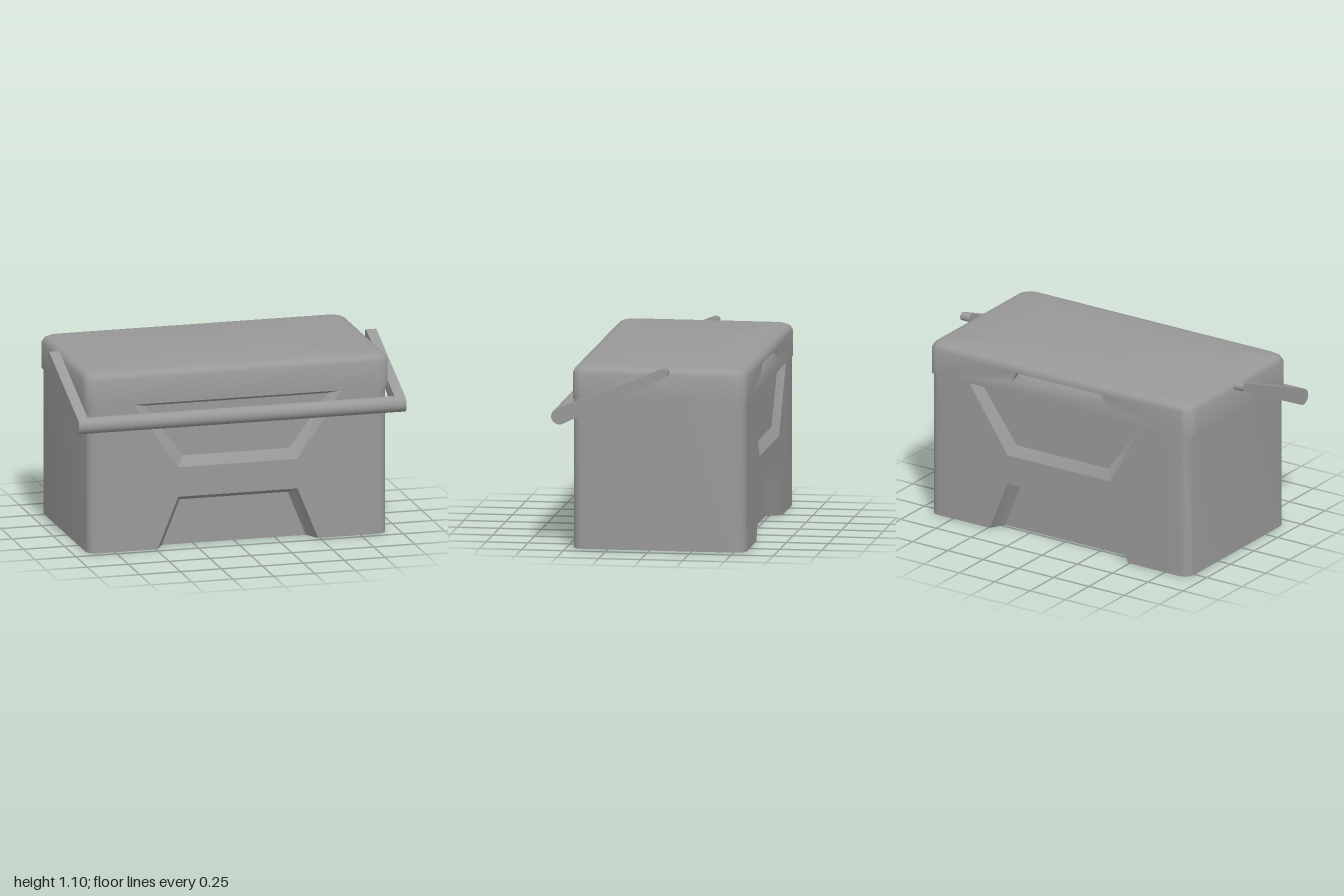
import * as THREE from 'three';
import { mergeGeometries, toCreasedNormals } from 'three/addons/utils/BufferGeometryUtils.js';

const grey = new THREE.MeshStandardMaterial({ color: 0x999999 });
grey.name = 'grey plastic';

const mesh = (geometry, name) => {
  const m = new THREE.Mesh(geometry, grey);
  m.name = name;
  return m;
};

// Join pieces into one surface, smooth except at edges sharper than the crease angle
function join(pieces, crease) {
  const bare = pieces.map((p) => {
    const g = p.index ? p.toNonIndexed() : p;
    g.deleteAttribute('normal');
    g.deleteAttribute('uv');
    g.clearGroups();
    return g;
  });
  return toCreasedNormals(mergeGeometries(bare), crease);
}

// Surface from triangles and quads given as corner points
function faces(list) {
  const pos = [];
  for (const [a, b, c, d] of list) {
    pos.push(...a, ...b, ...c);
    if (d) pos.push(...a, ...c, ...d);
  }
  const g = new THREE.BufferGeometry();
  g.setAttribute('position', new THREE.Float32BufferAttribute(pos, 3));
  return g;
}

const shapeOf = (pts) => new THREE.Shape(pts.map(([x, y]) => new THREE.Vector2(x, y)));
const at = ([x, y], z) => [x, y, z];

// Rounded rectangle in x and z, one run of points per corner
const SEG = 5;
function roundRect(hx, hz, r) {
  const pts = [];
  [[1, 1], [-1, 1], [-1, -1], [1, -1]].forEach(([sx, sz], k) => {
    for (let i = 0; i <= SEG; i++) {
      const a = (k + i / SEG) * Math.PI / 2;
      pts.push([sx * (hx - r) + r * Math.cos(a), sz * (hz - r) + r * Math.sin(a)]);
    }
  });
  return pts;
}

const BX = 0.915, BZ = 0.515, TOP = 0.9, PANEL = 0.7, DEEP = 0.09;

// Front panel with a footwell notch and a shallow tapered recess
function bodyPanel() {
  const foot = [[0.49, 0], [0.365, 0.31], [-0.365, 0.31], [-0.49, 0]];
  const footIn = [[0.44, 0], [0.33, 0.27], [-0.33, 0.27], [-0.44, 0]];
  const upper = [[-0.365, 0.49], [0.365, 0.49], [0.635, 0.89], [-0.635, 0.89]];
  const upperIn = [[-0.325, 0.55], [0.325, 0.55], [0.56, 0.868], [-0.56, 0.868]];
  const outline = shapeOf([[PANEL, 0], [PANEL, TOP], [-PANEL, TOP], [-PANEL, 0], ...[...foot].reverse()]);
  outline.holes.push(shapeOf(upper));
  const plate = new THREE.ExtrudeGeometry(outline, { depth: DEEP, bevelEnabled: false });
  plate.translate(0, 0, BZ - DEEP);

  const zin = BZ - DEEP, zup = BZ - 0.04, list = [];
  for (let i = 0; i < 3; i++) {
    list.push([at(foot[i], BZ), at(foot[i + 1], BZ), at(footIn[i + 1], zin), at(footIn[i], zin)]);
  }
  list.push([at(foot[0], BZ), at(footIn[0], zin), at(foot[0], zin)]);
  list.push([at(foot[3], BZ), at(foot[3], zin), at(footIn[3], zin)]);
  for (let i = 0; i < 4; i++) {
    const j = (i + 1) % 4;
    list.push([at(upper[i], BZ), at(upper[j], BZ), at(upperIn[j], zup), at(upperIn[i], zup)]);
  }
  list.push(upperIn.map((p) => at(p, zup)));
  return [plate, faces(list)];
}

function bodyGeometry() {
  // Core footprint, set back behind the front and back panels
  const p = roundRect(BX, BZ, 0.06), n = SEG + 1, z = BZ - DEEP;
  const footprint = shapeOf([
    ...p.slice(0, n), [PANEL, BZ], [PANEL, z], [-PANEL, z], [-PANEL, BZ],
    ...p.slice(n, 3 * n), [-PANEL, -BZ], [-PANEL, -z], [PANEL, -z], [PANEL, -BZ],
    ...p.slice(3 * n),
  ]);
  const core = new THREE.ExtrudeGeometry(footprint, { depth: TOP, bevelEnabled: false });
  core.rotateX(-Math.PI / 2);
  const back = bodyPanel().map((g) => g.rotateY(Math.PI));
  return join([core, ...bodyPanel(), ...back], 0.5);
}

function lidGeometry() {
  const hx = 0.93, hz = 0.52, r = 0.07, y0 = 0.89, y1 = 1.045;
  // Height and inset of each ring, from the rim up over the rounded edge
  const rings = [[y0, 0], [y1, 0], [1.07, 0.012], [1.083, 0.032], [1.09, 0.07]].map(([y, inset]) =>
    roundRect(hx - inset, hz - inset, r).map(([x, z]) => [x, y, z]));
  const n = rings[0].length, backEdge = 3 * (SEG + 1) - 1, list = [];
  for (let i = 0; i < n; i++) {
    const j = (i + 1) % n;
    for (let k = 0; k < rings.length - 1; k++) {
      if (k === 0 && i === backEdge) continue; // filled by the pocket panel
      const a = rings[k], b = rings[k + 1];
      list.push([a[i], b[i], b[j], a[j]]);
    }
    const top = rings[rings.length - 1];
    list.push([[0, 1.09, 0], top[j], top[i]], [[0, y0, 0], rings[0][i], rings[0][j]]);
  }
  // Back panel with a wedge-shaped finger pocket
  const w = hx - r;
  const mouth = [[-0.33, 0.965], [0.33, 0.965], [0.3, 1.03], [-0.3, 1.03]];
  const plate = shapeOf([[-w, y0], [w, y0], [w, y1], [-w, y1]]);
  plate.holes.push(shapeOf(mouth));
  const panel = new THREE.ShapeGeometry(plate).translate(0, 0, hz);
  const [bl, br, tr, tl] = mouth.map((p) => at(p, hz));
  const inL = [-0.3, 1.025, hz - 0.05], inR = [0.3, 1.025, hz - 0.05];
  const pocket = faces([[tr, tl, inL, inR], [bl, br, inR, inL], [br, tr, inR], [tl, bl, inL]]);
  return join([faces(list), panel.rotateY(Math.PI), pocket.rotateY(Math.PI)], 0.8);
}

// Tapered handle arm with round ends, drawn in z and y
function armGeometry() {
  const a = Math.atan2(0.272, -0.625), h = Math.PI / 2;
  const s = new THREE.Shape();
  s.absarc(0.525, 0.8, 0.048, a + h, a + 3 * h, false);
  s.absarc(-0.097, 1.072, 0.025, a - h, a + h, false);
  const g = new THREE.ExtrudeGeometry(s, { depth: 0.063, bevelEnabled: false, curveSegments: 14 });
  g.translate(0, 0, -0.0315).rotateY(-Math.PI / 2);
  return join([g], 0.5);
}

export function createModel() {
  const model = new THREE.Group();
  model.name = 'coolBox';

  const box = new THREE.Group();
  box.name = 'box';
  box.position.z = -0.055;
  box.add(mesh(bodyGeometry(), 'body'), mesh(lidGeometry(), 'lid'));

  const handle = new THREE.Group();
  handle.name = 'handle';
  const bar = mesh(new THREE.CylinderGeometry(0.048, 0.048, 1.99, 28), 'handleBar');
  bar.rotation.z = Math.PI / 2;
  bar.position.set(0, 0.8, 0.525);
  handle.add(bar);
  for (const side of [1, -1]) {
    const arm = mesh(armGeometry(), side > 0 ? 'leftArm' : 'rightArm');
    arm.position.x = side * 0.9685;
    handle.add(arm);
  }

  model.add(box, handle);
  return model;
}
